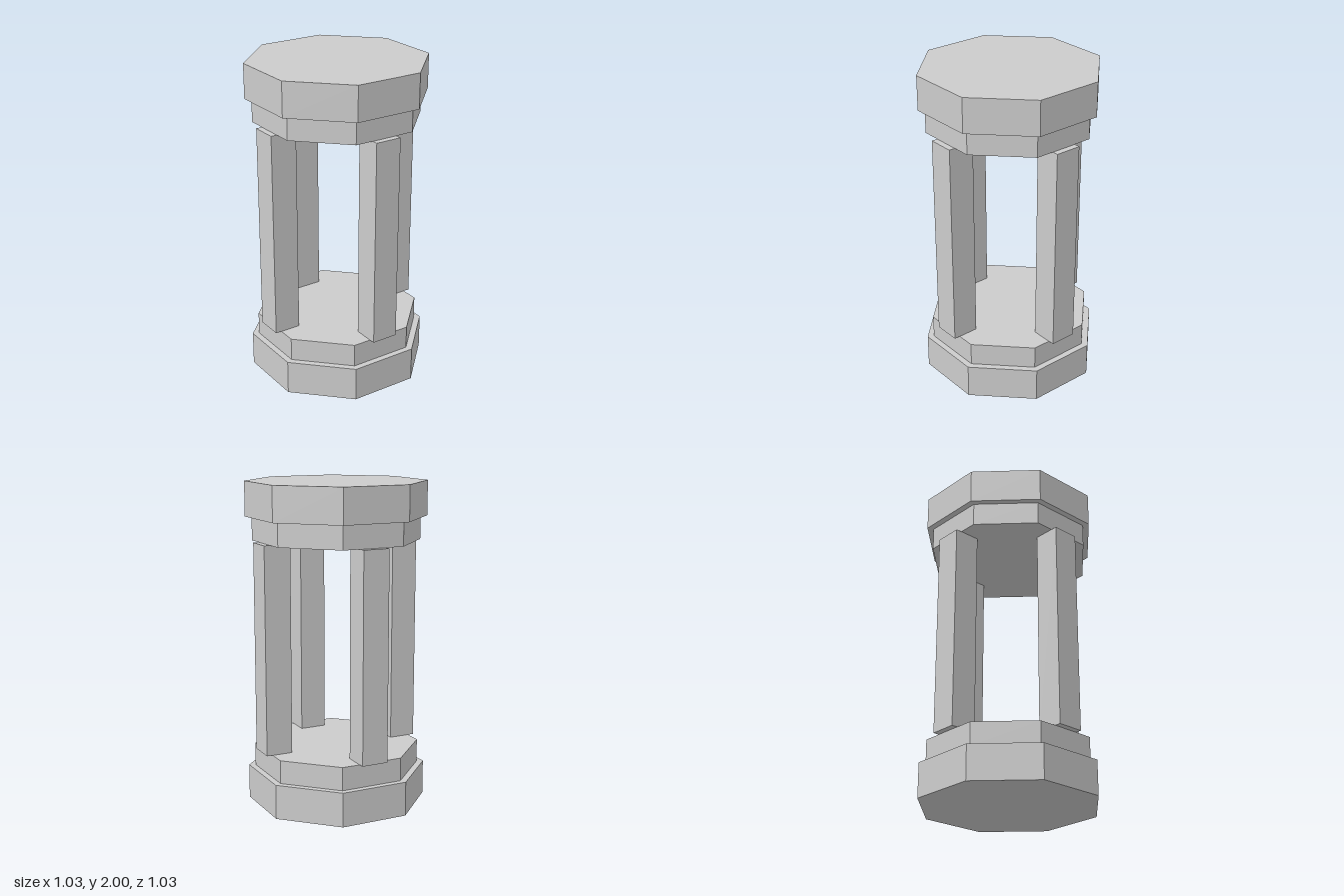
import * as THREE from 'three';

export function createModel() {
  const model = new THREE.Group();
  const stone = new THREE.MeshStandardMaterial({ color: 0xcccccc, flatShading: true });
  stone.name = 'light grey stone';

  // Octagonal slab with flat sides facing the axes
  function addSlab(name, apothem, bottom, top) {
    const radius = apothem / Math.cos(Math.PI / 8);
    const geometry = new THREE.CylinderGeometry(radius, radius, top - bottom, 8);
    geometry.rotateY(Math.PI / 8);
    const slab = new THREE.Mesh(geometry, stone);
    slab.position.y = (bottom + top) / 2;
    slab.name = name;
    model.add(slab);
  }

  // Stepped base and its mirrored cap
  addSlab('basePlinth', 0.513, 0, 0.214);
  addSlab('baseStep', 0.475, 0.214, 0.358);
  addSlab('capStep', 0.475, 1.642, 1.786);
  addSlab('capSlab', 0.513, 1.786, 2);

  // Four square pillars, overhanging the steps slightly
  const pillarGeometry = new THREE.BoxGeometry(0.167, 1.284, 0.167);
  ['front', 'left', 'back', 'right'].forEach((side, i) => {
    const angle = i * Math.PI / 2;
    const pillar = new THREE.Mesh(pillarGeometry, stone);
    pillar.position.set(0.4295 * Math.sin(angle), 1, 0.4295 * Math.cos(angle));
    pillar.name = side + 'Pillar';
    model.add(pillar);
  });

  return model;
}
